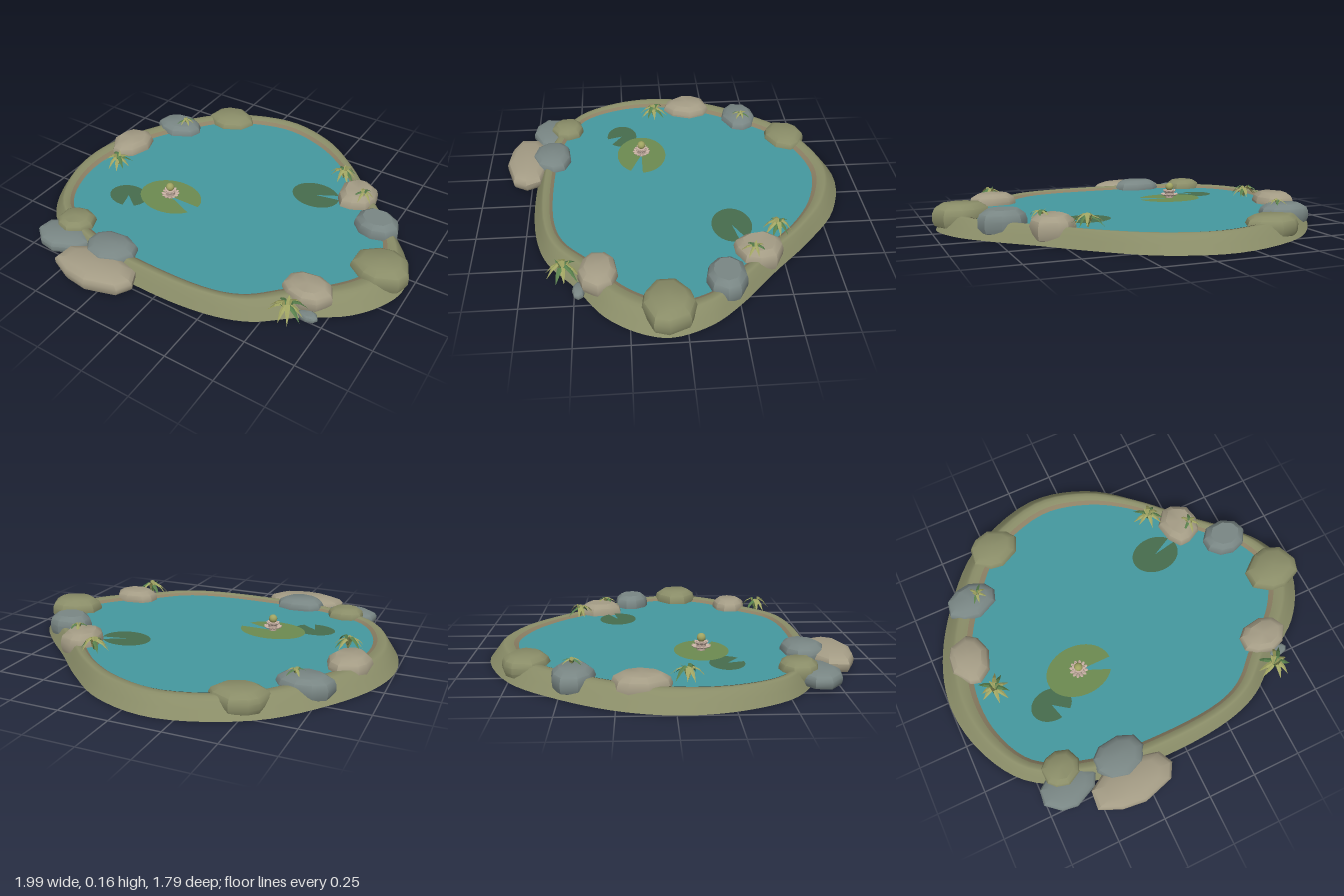
import * as THREE from 'three';
import { toCreasedNormals } from 'three/addons/utils/BufferGeometryUtils.js';

const mat = (name, color, double) => {
  const m = new THREE.MeshStandardMaterial({ color });
  m.name = name;
  if (double) m.side = THREE.DoubleSide;
  return m;
};

// Small seeded generator
const seeded = (s) => () => (s = (s * 16807) % 2147483647) / 2147483647;

// Closed rings of Vector3 joined into a skin, with optional end caps
function loft(rings, capBottom, capTop) {
  const n = rings[0].length, pos = [], idx = [];
  rings.forEach(r => r.forEach(p => pos.push(p.x, p.y, p.z)));
  for (let j = 0; j < rings.length - 1; j++)
    for (let i = 0; i < n; i++) {
      const a = j * n + i, b = j * n + (i + 1) % n;
      idx.push(a, a + n, b, b, a + n, b + n);
    }
  const cap = (j, up) => {
    const c = new THREE.Vector3(), k = pos.length / 3;
    rings[j].forEach(p => c.addScaledVector(p, 1 / n));
    pos.push(c.x, c.y, c.z);
    for (let i = 0; i < n; i++) {
      const a = j * n + i, b = j * n + (i + 1) % n;
      idx.push(k, up ? b : a, up ? a : b);
    }
  };
  if (capBottom) cap(0, false);
  if (capTop) cap(rings.length - 1, true);
  const g = new THREE.BufferGeometry();
  g.setAttribute('position', new THREE.Float32BufferAttribute(pos, 3));
  g.setIndex(idx);
  g.computeVertexNormals();
  return g;
}

// Pond outlines as x, z pairs with matching order
const OUTER = [[-0.16, -0.9], [-0.56, -0.75], [-0.8, -0.49], [-0.95, -0.22], [-1, 0.03], [-0.95, 0.29], [-0.8, 0.53],
  [-0.5, 0.68], [-0.08, 0.725], [0.27, 0.7], [0.46, 0.635], [0.63, 0.5], [0.83, 0.36], [0.94, 0.2], [0.97, 0.07],
  [0.91, -0.11], [0.8, -0.25], [0.59, -0.45], [0.4, -0.64], [0.16, -0.825]];
const INNER = [[-0.14, -0.76], [-0.46, -0.64], [-0.66, -0.41], [-0.79, -0.18], [-0.85, 0.05], [-0.83, 0.27], [-0.72, 0.47],
  [-0.45, 0.59], [-0.08, 0.625], [0.25, 0.605], [0.39, 0.55], [0.53, 0.42], [0.7, 0.28], [0.79, 0.15], [0.82, 0.04],
  [0.77, -0.12], [0.66, -0.24], [0.48, -0.42], [0.31, -0.59], [0.11, -0.71]];

const smooth = (pts) => {
  const c = new THREE.CatmullRomCurve3(pts.map(([x, z]) => new THREE.Vector3(x, 0, z)).reverse(), true, 'centripetal');
  return Array.from({ length: 100 }, (_, i) => c.getPoint(i / 100));
};

// Rounded boulder with an irregular outline and bevelled top and bottom
function boulder(rx, rz, y0, y1, seed) {
  const rnd = seeded(seed * 7919 + 13), n = 9, h = y1 - y0;
  const ang = [], rad = [];
  for (let i = 0; i < n; i++) {
    ang.push((i + (rnd() - 0.5) * 0.45) / n * Math.PI * 2);
    rad.push(0.94 + rnd() * 0.12);
  }
  const ring = (s, f) => ang.map((a, i) => new THREE.Vector3(Math.cos(a) * rad[i] * rx * s, y0 + h * f, Math.sin(a) * rad[i] * rz * s));
  const rings = [ring(0.72, 0), ring(0.94, 0.13), ring(1, 0.32), ring(1, 0.6), ring(0.92, 0.82), ring(0.66, 1)];
  return toCreasedNormals(loft(rings, true, true), 0.65);
}

// Folded blade: radius, height and width steps along its length
function blade(len, h, w, upright) {
  const R = [0, 0.25, 0.6, 1], Y = upright ? [0, 0.5, 0.85, 1.1] : [0, 1, 0.75, 0.12], W = [0.4, 1, 0.8, 0];
  const pos = [], idx = [];
  R.forEach((r, j) => [-1, 0, 1].forEach(s => pos.push(r * len, Y[j] * h - Math.abs(s) * W[j] * w * 0.4, s * W[j] * w)));
  for (let j = 0; j < 3; j++)
    for (let i = 0; i < 2; i++) {
      const a = j * 3 + i;
      idx.push(a, a + 1, a + 3, a + 1, a + 4, a + 3);
    }
  const g = new THREE.BufferGeometry();
  g.setAttribute('position', new THREE.Float32BufferAttribute(pos, 3));
  g.setIndex(idx);
  return toCreasedNormals(g, 0.3);
}

export function createModel() {
  const model = new THREE.Group();
  const M = {
    olive: mat('olive earth', 0x8a8d68, true), shore: mat('shore brown', 0x8c8064, true),
    water: mat('pond water', 0x45999f, true), tan: mat('tan stone', 0xa49c85), grey: mat('grey stone', 0x798684),
    padLight: mat('light pad green', 0x6c8b50, true), padDark: mat('dark pad green', 0x476c4d, true),
    leafLight: mat('light leaf', 0xa0a462, true), leafDark: mat('dark leaf', 0x587f4c, true), petal: mat('petal', 0xc9b2a4, true),
  };
  const add = (name, geo, material, parent = model) => {
    const m = new THREE.Mesh(geo, material);
    m.name = name;
    parent.add(m);
    return m;
  };

  // Bank: t runs from outer foot (0) to waterline (1); s shrinks the waterline for the sunken bed
  const outer = smooth(OUTER), inner = smooth(INNER);
  const ring = (t, y, s = 1) => outer.map((p, i) => p.clone().lerp(inner[i], t).multiplyScalar(s).setY(y));
  add('bank', loft([ring(0, 0), ring(0.22, 0.04), ring(0.42, 0.076), ring(0.52, 0.084), ring(0.66, 0.084),
    ring(0.85, 0.077), ring(1, 0.066), ring(1, 0.04, 0.93), ring(1, 0.02, 0.86)]), M.olive);
  add('shoreStrip', loft([ring(0.84, 0.079), ring(0.92, 0.0735), ring(1, 0.067)]), M.shore);
  add('bedEdge', loft([ring(1, 0.02, 0.86), ring(1, 0.012, 0.79)]), M.shore);
  add('water', loft([ring(1, 0.067)], false, true), M.water);

  // Stones: x, z, half width, half depth, bottom, top, colour
  [[-0.46, -0.68, 0.14, 0.11, 0.01, 0.11, 'olive'], [-0.68, -0.445, 0.14, 0.1, 0.01, 0.115, 'grey'],
    [-0.81, -0.14, 0.105, 0.13, 0.01, 0.123, 'tan'], [-0.61, 0.57, 0.1, 0.09, 0.02, 0.115, 'olive'],
    [-0.62, 0.66, 0.15, 0.105, 0.005, 0.08, 'grey'], [-0.33, 0.64, 0.135, 0.11, 0.02, 0.118, 'grey'],
    [-0.315, 0.775, 0.222, 0.115, 0.005, 0.095, 'tan'], [0.62, 0.39, 0.12, 0.095, 0.02, 0.123, 'tan'],
    [0.67, 0.48, 0.05, 0.03, 0, 0.035, 'grey'], [0.845, 0.08, 0.148, 0.122, 0.01, 0.132, 'olive'],
    [0.7, -0.195, 0.115, 0.098, 0.015, 0.137, 'grey'], [0.515, -0.375, 0.105, 0.12, 0.005, 0.128, 'tan'],
  ].forEach(([x, z, rx, rz, y0, y1, c], i) => add('stone', boulder(rx, rz, y0, y1, i + 1), M[c]).position.set(x, 0, z));

  // Grass tufts: x, base height, z, spread, height
  [[-0.75, 0.075, 0.06, 0.09, 0.068], [0.38, 0.08, -0.485, 0.085, 0.072], [0.6, 0.055, 0.55, 0.095, 0.085],
    [-0.64, 0.11, -0.45, 0.06, 0.035], [0.56, 0.105, -0.345, 0.065, 0.055],
  ].forEach(([x, y, z, r, h], k) => {
    const tuft = new THREE.Group(), rnd = seeded(k * 331 + 77), n = k < 3 ? 11 : 7;
    tuft.name = 'grassTuft';
    tuft.position.set(x, y, z);
    for (let i = 0; i < n; i++) {
      const up = i % 4 === 3;
      const b = add('blade', blade(r * (up ? 0.4 : 0.8 + rnd() * 0.25), h * (0.7 + rnd() * 0.25), r * 0.13, up),
        i % 3 === 1 ? M.leafDark : M.leafLight, tuft);
      b.rotation.y = (i + rnd() * 0.5) / n * Math.PI * 2;
    }
    model.add(tuft);
  });

  // Lily pads: x, y, z, half width, half depth, notch edge angle, notch opening, colour
  [[-0.325, 0.076, 0.15, 0.173, 0.133, 0, 0.5, 'padLight'], [-0.525, 0.072, 0.255, 0.106, 0.083, -0.75, 0.6, 'padDark'],
    [0.32, 0.074, -0.27, 0.128, 0.1, 0.6, 0.35, 'padDark'],
  ].forEach(([x, y, z, rx, rz, a, gap, c]) => {
    const pad = add('lilyPad', new THREE.CircleGeometry(1, 40, a, Math.PI * 2 - gap).rotateX(-Math.PI / 2), M[c]);
    pad.position.set(x, y, z);
    pad.scale.set(rx, 1, rz);
  });

  // Water lily: two rings of petals around a round heart
  const lily = new THREE.Group();
  lily.name = 'waterLily';
  lily.position.set(-0.325, 0.078, 0.15);
  [[12, 0.034, 0.018, 0.35], [9, 0.024, 0.035, 0.75]].forEach(([n, r, y, tilt]) => {
    for (let i = 0; i < n; i++) {
      const holder = new THREE.Group();
      holder.name = 'petalHolder';
      holder.rotation.y = (i + (n === 9 ? 0.5 : 0)) / n * Math.PI * 2;
      const p = add('petal', new THREE.SphereGeometry(1, 8, 6), M.petal, holder);
      p.scale.set(0.016, 0.005, 0.009);
      p.position.set(r, y, 0);
      p.rotation.z = tilt;
      lily.add(holder);
    }
  });
  add('lilyBase', new THREE.CylinderGeometry(0.026, 0.02, 0.045, 12).translate(0, 0.022, 0), M.petal, lily);
  add('lilyHeart', new THREE.SphereGeometry(0.022, 14, 10).translate(0, 0.062, 0), M.leafLight, lily);
  model.add(lily);

  return model;
}
